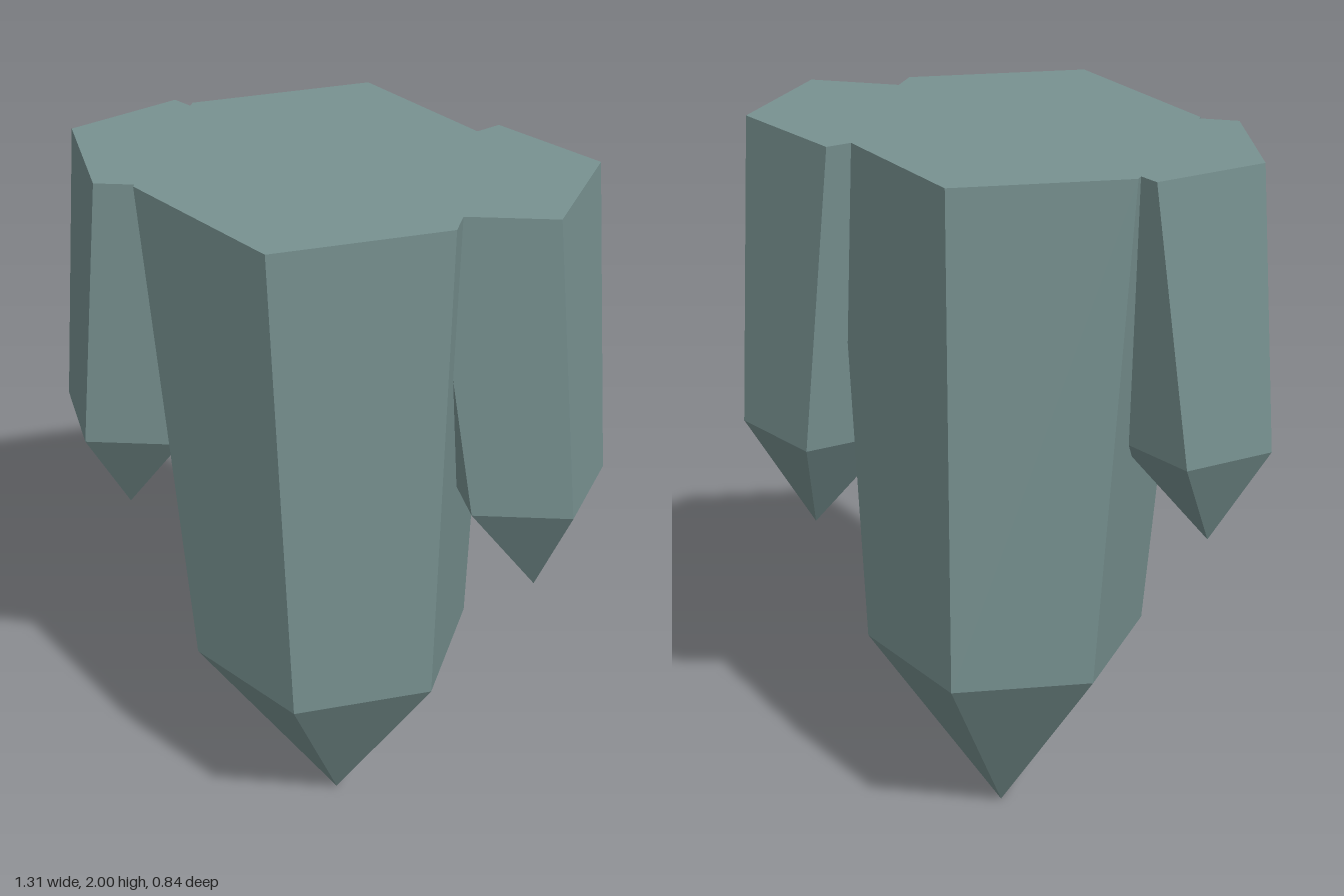
import * as THREE from 'three';

const stone = new THREE.MeshStandardMaterial({ color: 0x789291, flatShading: true });
stone.name = 'greyTealStone';

// Hanging crystal: a flat cap, a tapering prism and a pointed lower end.
// Sections are { x, y, z, r }; the tip is [x, y, z].
function crystal(name, sides, top, shoulder, tip) {
  const ring = (s) => Array.from({ length: sides }, (_, i) => {
    const a = (i / sides) * Math.PI * 2;
    return [s.x + s.r * Math.cos(a), s.y, s.z + s.r * Math.sin(a)];
  });
  const upper = ring(top);
  const lower = ring(shoulder);
  const centre = [top.x, top.y, top.z];
  const points = [];
  for (let i = 0; i < sides; i++) {
    const j = (i + 1) % sides;
    points.push(centre, upper[j], upper[i]); // cap
    points.push(upper[i], upper[j], lower[j], upper[i], lower[j], lower[i]); // side
    points.push(lower[i], lower[j], tip); // point
  }
  const geometry = new THREE.BufferGeometry();
  geometry.setAttribute('position', new THREE.Float32BufferAttribute(points.flat(), 3));
  geometry.computeVertexNormals();
  const mesh = new THREE.Mesh(geometry, stone);
  mesh.name = name;
  return mesh;
}

export function createModel() {
  const group = new THREE.Group();
  group.name = 'hangingCrystals';
  group.add(
    // Large six-sided centre
    crystal('mainCrystal', 6,
      { x: -0.055, y: 2, z: 0, r: 0.46 },
      { x: -0.025, y: 0.565, z: 0, r: 0.375 },
      [-0.013, 0, 0]),
    // Five-sided offshoots leaning outward
    crystal('leftFrontCrystal', 5,
      { x: 0.347, y: 2, z: 0.163, r: 0.263 },
      { x: 0.431, y: 1.13, z: 0.21, r: 0.219 },
      [0.467, 0.8, 0.233]),
    crystal('rightBackCrystal', 5,
      { x: -0.402, y: 2, z: -0.187, r: 0.251 },
      { x: -0.487, y: 1.225, z: -0.222, r: 0.208 },
      [-0.523, 0.925, -0.236]),
  );
  return group;
}
